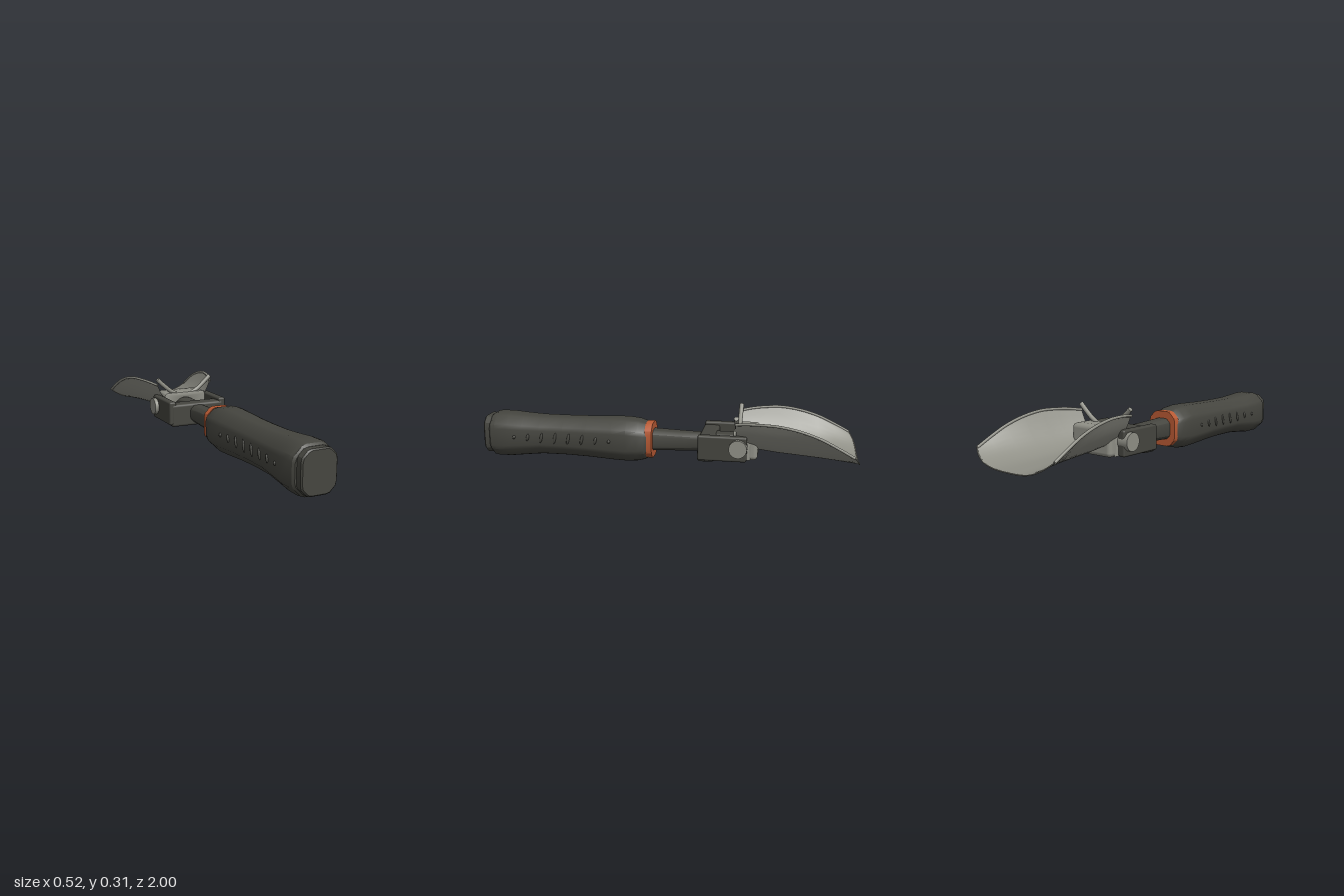
import * as THREE from 'three';
import { toCreasedNormals } from 'three/addons/utils/BufferGeometryUtils.js';
import { RoundedBoxGeometry } from 'three/addons/geometries/RoundedBoxGeometry.js';

// Chamfered rectangle with softened corners, counter-clockwise seen from +z
function chamferRing([z, hw, y0, y1, c]) {
  const corners = [
    [hw, y0 + c], [hw, y1 - c], [hw - c, y1], [c - hw, y1],
    [-hw, y1 - c], [-hw, y0 + c], [c - hw, y0], [hw - c, y0],
  ].map(([x, y]) => new THREE.Vector3(x, y, z));
  const n = corners.length;
  return corners.flatMap((p, i) => [
    p.clone().lerp(corners[(i + n - 1) % n], 0.13),
    p.clone().lerp(corners[(i + 1) % n], 0.13),
  ]);
}

// Closed solid through cross-sections listed from low z to high z
function loft(sections, crease = 0.5) {
  const rings = sections.map(chamferRing);
  const n = rings[0].length, last = (rings.length - 1) * n;
  const index = [];
  for (let i = 0; i < rings.length - 1; i++) {
    for (let j = 0; j < n; j++) {
      const a = i * n + j, b = i * n + (j + 1) % n;
      index.push(a, b, a + n, b, b + n, a + n);
    }
  }
  for (let j = 1; j < n - 1; j++) {
    index.push(0, j + 1, j, last, last + j, last + j + 1);
  }
  const g = new THREE.BufferGeometry().setFromPoints(rings.flat());
  g.setIndex(index);
  return toCreasedNormals(g, crease);
}

export function createModel() {
  const model = new THREE.Group();
  model.name = 'foldingShovel';
  const mat = (name, color) => {
    const m = new THREE.MeshStandardMaterial({ color });
    m.name = name;
    return m;
  };
  const dark = mat('darkGrey', 0x45453f);
  const metal = mat('steelGrey', 0x8f8f86);
  const orange = mat('orange', 0xb85a34);
  metal.side = THREE.DoubleSide;

  const add = (name, geometry, material, x = 0, y = 0, z = 0) => {
    const mesh = new THREE.Mesh(geometry, material);
    mesh.name = name;
    mesh.position.set(x, y, z);
    model.add(mesh);
    return mesh;
  };

  // Grip: waisted octagonal handle, [z, half width, bottom, top, chamfer]
  const grip = [
    [0.085, 0.082, 0.032, 0.21, 0.045],
    [0.105, 0.094, 0.02, 0.22, 0.05],
    [0.14, 0.103, 0.011, 0.23, 0.055],
    [0.2, 0.106, 0.006, 0.236, 0.055],
    [0.28, 0.103, 0.008, 0.236, 0.055],
    [0.42, 0.096, 0.016, 0.231, 0.053],
    [0.55, 0.094, 0.02, 0.229, 0.052],
    [0.68, 0.097, 0.02, 0.229, 0.053],
    [0.78, 0.104, 0.01, 0.234, 0.055],
    [0.86, 0.11, 0.001, 0.24, 0.057],
    [0.93, 0.11, 0, 0.24, 0.057],
    [0.952, 0.107, 0.004, 0.236, 0.055],
    [0.963, 0.098, 0.014, 0.226, 0.05],
  ];
  add('grip', loft(grip), dark);
  add('endCap', loft([
    [0.955, 0.09, 0.018, 0.225, 0.038],
    [0.993, 0.09, 0.018, 0.225, 0.038],
    [1, 0.084, 0.024, 0.219, 0.036],
  ]), dark);

  // Slanted finger ribs on both sides of the grip
  const ribHalf = [0.01, 0.02, 0.028, 0.032, 0.032, 0.028, 0.02, 0.01];
  for (const side of [-1, 1]) {
    ribHalf.forEach((h, i) => {
      const z = 0.29 + i * 0.0755;
      const k = grip.findIndex((s) => s[0] > z);
      const [a, b] = [grip[k - 1], grip[k]];
      const x = THREE.MathUtils.mapLinear(z, a[0], b[0], a[1], b[1]);
      const rib = add('gripRib', new THREE.SphereGeometry(1, 12, 8), dark, side * x, 0.125, z);
      rib.scale.set(0.008, h, 0.008);
      rib.rotation.x = -0.22;
    });
  }

  // Collar and neck
  add('collar', loft([
    [0.063, 0.085, 0.03, 0.22, 0.04],
    [0.1, 0.085, 0.03, 0.22, 0.04],
  ]), orange);
  add('neck', loft([
    [-0.21, 0.046, 0.078, 0.174, 0.022],
    [-0.1, 0.048, 0.075, 0.176, 0.022],
    [0.07, 0.054, 0.068, 0.182, 0.024],
  ]), dark);
  add('tongue', new RoundedBoxGeometry(0.09, 0.1, 0.2, 3, 0.02), dark, 0, 0.13, -0.32);

  // Yoke: crossbar, two arms and pivot pin heads
  add('crossbar', new RoundedBoxGeometry(0.314, 0.125, 0.085, 3, 0.014), dark, 0, 0.1225, -0.233);
  for (const side of [-1, 1]) {
    add('yokeArm', new RoundedBoxGeometry(0.04, 0.13, 0.25, 3, 0.01), dark, side * 0.15, 0.136, -0.318);
    const pin = add('pivotPin', new THREE.CylinderGeometry(0.046, 0.046, 0.06, 28), metal,
      side * 0.16, 0.143, -0.4);
    pin.rotation.z = Math.PI / 2;
  }

  // Hinge block: arched bracket with a closed rear wall
  const arch = new THREE.Shape();
  arch.moveTo(-0.12, 0.078);
  arch.lineTo(-0.12, 0.195);
  arch.quadraticCurveTo(-0.12, 0.21, -0.105, 0.21);
  arch.lineTo(0.105, 0.21);
  arch.quadraticCurveTo(0.12, 0.21, 0.12, 0.195);
  arch.lineTo(0.12, 0.078);
  arch.lineTo(0.075, 0.078);
  arch.lineTo(0.075, 0.13);
  arch.absarc(0, 0.115, 0.075, 0.2, Math.PI - 0.2, false);
  arch.lineTo(-0.075, 0.078);
  const bracket = new THREE.ExtrudeGeometry(arch, {
    depth: 0.08, bevelSize: 0.006, bevelThickness: 0.006, bevelSegments: 2, curveSegments: 10,
  });
  add('hingeBracket', toCreasedNormals(bracket, 0.6), metal, 0, 0, -0.456);
  add('hingeRearWall', new RoundedBoxGeometry(0.254, 0.146, 0.055, 4, 0.022), metal, 0, 0.143, -0.468);

  // Scoop blade: curved sheet, rows of [z, half width, floor y, rim y]
  const rows = [
    [-0.385, 0.164, 0.122, 0.265],
    [-0.45, 0.188, 0.115, 0.275],
    [-0.52, 0.208, 0.108, 0.28],
    [-0.6, 0.225, 0.1, 0.28],
    [-0.7, 0.236, 0.094, 0.264],
    [-0.8, 0.244, 0.088, 0.233],
    [-0.89, 0.25, 0.083, 0.19],
    [-0.965, 0.253, 0.078, 0.15],
  ];
  const cols = 28;
  const bladePoint = (r, t) => {
    const [z, w, floor, rim] = rows[r];
    const pull = r === rows.length - 1 ? 0.033 * (1 - t ** 6) : 0;
    return new THREE.Vector3(w * t, floor - pull * 0.06 + (rim - floor) * Math.abs(t) ** 3, z - pull);
  };
  const sheet = new THREE.PlaneGeometry(1, 1, cols, rows.length - 1);
  const pos = sheet.attributes.position;
  for (let i = 0; i < pos.count; i++) {
    const p = bladePoint(rows.length - 1 - Math.floor(i / (cols + 1)), (i % (cols + 1)) / cols * 2 - 1);
    pos.setXYZ(i, p.x, p.y, p.z);
  }
  sheet.computeVertexNormals();
  add('blade', sheet, metal);

  // Rolled rims and cutting edge
  const tube = (name, points, radius) => add(name, new THREE.TubeGeometry(
    new THREE.CatmullRomCurve3(points, false, 'centripetal'), 40, radius, 10), metal);
  for (const side of [-1, 1]) {
    tube('bladeRim', rows.map((_, r) => bladePoint(r, side)), 0.007);
  }
  const tip = Array.from({ length: 21 }, (_, i) => bladePoint(rows.length - 1, i / 10 - 1));
  tube('cuttingEdge', tip, 0.003);

  // Bent release bar over the hinge
  const half = [[0.164, 0.297], [0.122, 0.258], [0.08, 0.224], [0.035, 0.203]];
  const bar = [
    ...half.map(([x, y]) => new THREE.Vector3(-x, y, -0.388)),
    ...half.reverse().map(([x, y]) => new THREE.Vector3(x, y, -0.388)),
  ];
  tube('releaseBar', bar, 0.012);
  for (const side of [-1, 1]) {
    const end = add('releaseBarEnd', new THREE.CircleGeometry(0.012, 10), metal, side * 0.164, 0.297, -0.388);
    end.lookAt(side * 0.206, 0.336, -0.388);
  }

  return model;
}
